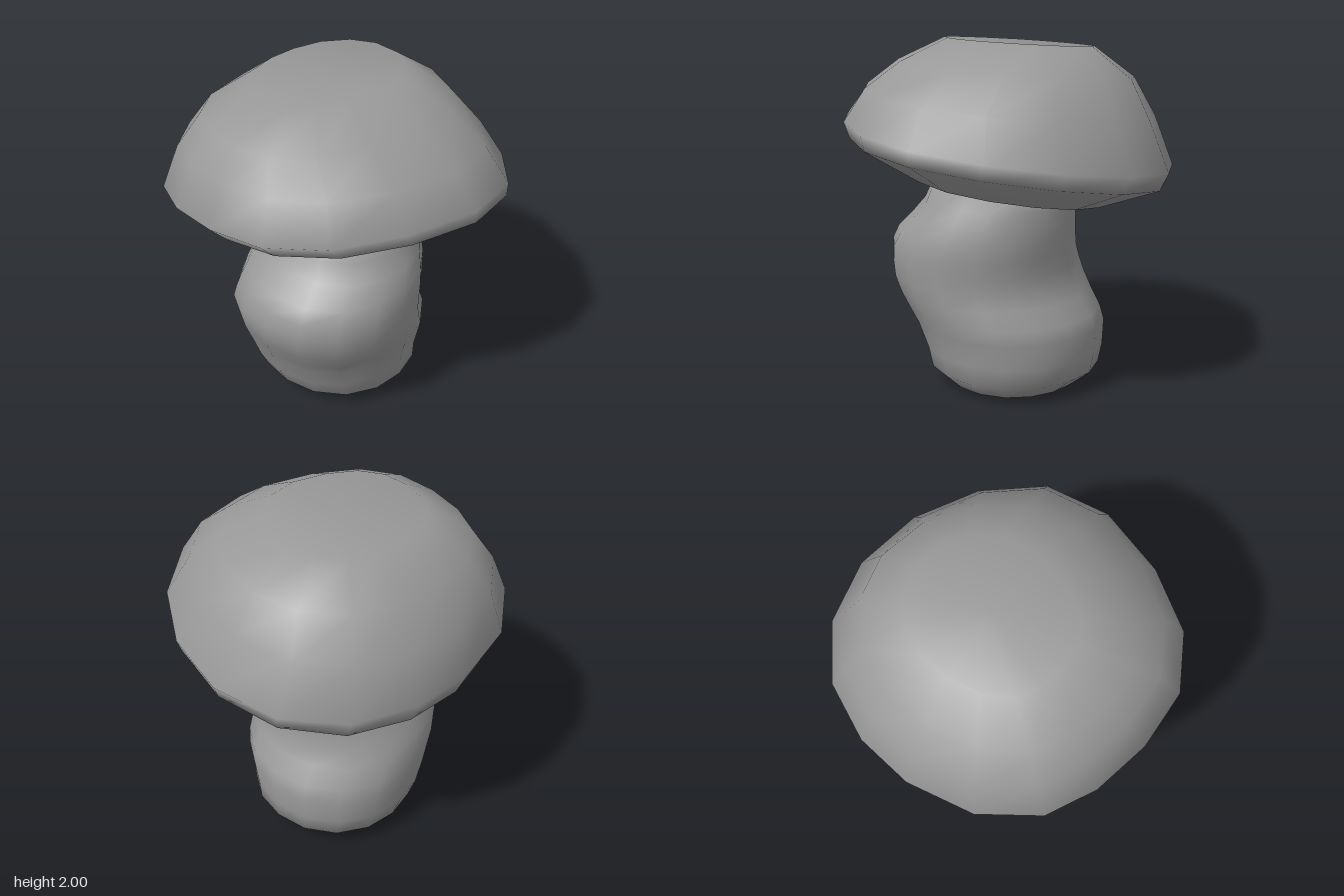
import * as THREE from 'three';
import { mergeVertices } from 'three/addons/utils/BufferGeometryUtils.js';

const SIDES = 16;

// Slightly irregular cap outline (x, z), from the left side round past the front
const capOutline = [
  [0.94, -0.08], [0.86, 0.3], [0.65, 0.63], [0.34, 0.86],
  [-0.04, 0.9], [-0.44, 0.77], [-0.76, 0.56], [-0.93, 0.27],
  [-0.94, -0.06], [-0.87, -0.38], [-0.73, -0.64], [-0.43, -0.84],
  [-0.04, -0.91], [0.3, -0.87], [0.63, -0.72], [0.86, -0.44],
].map(([x, z]) => [x / 0.94, z / 0.905]);

// Stem outline: a circle swollen a little along one diagonal
const stemOutline = Array.from({ length: SIDES }, (_, j) => {
  const a = (j / SIDES) * Math.PI * 2, s = Math.sin(2 * a);
  const r = 1 + 0.018 * s * s - 0.015 * s;
  return [r * Math.cos(a), r * Math.sin(a)];
});

// Skin a stack of tilted rings, listed from bottom to top; the end rings are points.
// Ring: [y, minX, maxX, minZ, maxZ, slope along x, slope along z]
function loft(outline, rings) {
  const positions = [], index = [];
  for (const [y, x0, x1, z0, z1, sx = 0, sz = 0] of rings) {
    for (const [ox, oz] of outline) {
      const x = (x0 + x1) / 2 + ((x1 - x0) / 2) * ox;
      const z = (z0 + z1) / 2 + ((z1 - z0) / 2) * oz;
      positions.push(x, y + sx * x + sz * z, z);
    }
  }
  for (let i = 0; i < rings.length - 1; i++) {
    for (let j = 0; j < SIDES; j++) {
      const a = i * SIDES + j, b = i * SIDES + ((j + 1) % SIDES);
      const c = a + SIDES, d = b + SIDES;
      if (i > 0) index.push(a, c, b);
      if (i < rings.length - 2) index.push(b, c, d);
    }
  }
  let geometry = new THREE.BufferGeometry();
  geometry.setAttribute('position', new THREE.Float32BufferAttribute(positions, 3));
  geometry.setIndex(index);
  geometry = mergeVertices(geometry);
  geometry.computeVertexNormals();
  return geometry;
}

export function createModel() {
  const group = new THREE.Group();
  group.name = 'mushroom';
  const material = new THREE.MeshStandardMaterial({ color: 0x999999 });
  const add = (name, outline, rings) => {
    const mesh = new THREE.Mesh(loft(outline, rings), material);
    mesh.name = name;
    group.add(mesh);
  };

  // Lumpy, bent stem
  add('stem', stemOutline, [
    [0.0, 0.03, 0.03, -0.04, -0.04],
    [0.015, -0.34, 0.41, -0.42, 0.33],
    [0.11, -0.44, 0.52, -0.54, 0.43],
    [0.22, -0.49, 0.535, -0.57, 0.44],
    [0.37, -0.55, 0.545, -0.585, 0.48],
    [0.45, -0.59, 0.52, -0.58, 0.51],
    [0.55, -0.635, 0.45, -0.57, 0.54],
    [0.64, -0.67, 0.41, -0.55, 0.555],
    [0.73, -0.677, 0.405, -0.51, 0.56],
    [0.82, -0.66, 0.405, -0.475, 0.56],
    [0.9, -0.61, 0.415, -0.45, 0.54],
    [1.0, -0.49, 0.41, -0.43, 0.5],
    [1.09, -0.42, 0.4, -0.41, 0.44],
    [1.2, -0.36, 0.38, -0.39, 0.38, -0.05, 0.12],
    [1.24, 0, 0, 0, 0],
  ]);

  // Tilted cap: flat underside, sharp rim, dome sinking to a shallow dimple
  add('cap', capOutline, [
    [1.17, 0, 0, -0.02, -0.02],
    [1.17, -0.35, 0.38, -0.39, 0.38, -0.08, 0.15],
    [1.165, -0.54, 0.55, -0.57, 0.56, -0.08, 0.15],
    [1.33, -0.85, 0.9, -0.87, 0.9, -0.07, 0.14],
    [1.425, -0.94, 0.94, -0.91, 0.905, -0.07, 0.12],
    [1.65, -0.82, 0.8, -0.84, 0.78, -0.05, 0.09],
    [1.83, -0.7, 0.69, -0.7, 0.56, -0.015, 0.07],
    [1.98, -0.44, 0.46, -0.48, 0.29, 0, 0.07],
    [1.92, 0.02, 0.02, -0.1, -0.1],
  ]);
  return group;
}
